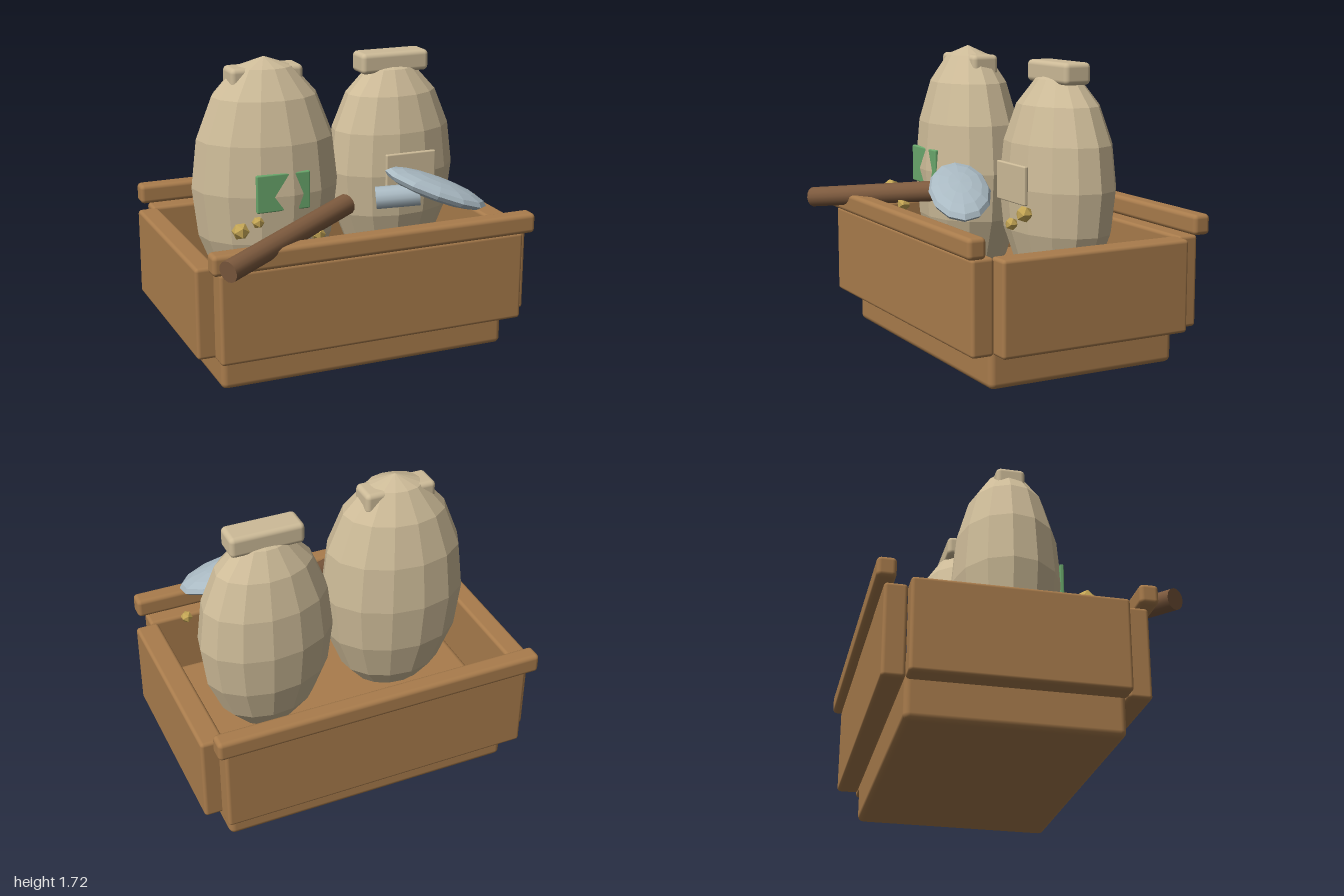
import * as THREE from 'three';
import { RoundedBoxGeometry } from 'three/addons/geometries/RoundedBoxGeometry.js';

const mat = (name, color, flatShading = false) => {
  const m = new THREE.MeshStandardMaterial({ color, flatShading });
  m.name = name;
  return m;
};

export function createModel() {
  const model = new THREE.Group();
  model.name = 'suppliesCrate';
  const wood = mat('crate wood', 0xa97c4c);
  const cloth = mat('sack cloth', 0xcdbb98, true);
  const trim = mat('sack trim', 0xcdbb98);
  const green = mat('green patch', 0x6aa86c);
  const bark = mat('log brown', 0x7d5a3e);
  const metal = mat('pale steel', 0xa9b9c2, true);
  const gold = mat('gold', 0xc4a655, true);

  const add = (name, geometry, material, x = 0, y = 0, z = 0) => {
    const mesh = new THREE.Mesh(geometry, material);
    mesh.name = name;
    mesh.position.set(x, y, z);
    model.add(mesh);
    return mesh;
  };
  // Rounded box given by its lower and upper corners
  const box = (name, material, lo, hi, radius) => {
    const s = hi.map((v, i) => v - lo[i]);
    const c = hi.map((v, i) => (v + lo[i]) / 2);
    return add(name, new RoundedBoxGeometry(...s, 3, radius), material, ...c);
  };
  // Cylinder between two points
  const rod = (name, material, from, to, radius, sides) => {
    const a = new THREE.Vector3(...from), b = new THREE.Vector3(...to);
    const dir = b.clone().sub(a);
    const mesh = add(name, new THREE.CylinderGeometry(radius, radius, dir.length(), sides), material);
    mesh.position.copy(a).add(b).multiplyScalar(0.5);
    mesh.quaternion.setFromUnitVectors(new THREE.Vector3(0, 1, 0), dir.normalize());
    return mesh;
  };

  // Crate: floor block, four walls and two rails
  box('crateFloor', wood, [-0.865, 0, -0.66], [0.86, 0.36, 0.49], 0.035);
  box('rightWall', wood, [-1, 0.2, -0.66], [-0.875, 0.72, 0.49], 0.02);
  box('leftWall', wood, [0.865, 0.2, -0.66], [1, 0.72, 0.49], 0.02);
  box('frontWall', wood, [-0.907, 0.2, 0.49], [0.907, 0.72, 0.62], 0.02);
  box('backWall', wood, [-0.907, 0.2, -0.785], [0.907, 0.72, -0.66], 0.02);
  box('frontRail', wood, [-0.957, 0.725, 0.56], [0.957, 0.84, 0.665], 0.025);
  box('backRail', wood, [-0.957, 0.725, -0.832], [0.957, 0.84, -0.727], 0.025);

  // Sacks, each with a tie across the top and a patch on the front
  const sacks = [
    { side: 'right', p: [-0.41, 0.99, -0.04], r: [0.425, 0.73, 0.312], turn: -0.12, tieZ: -0.052, patch: green },
    { side: 'left', p: [0.428, 0.98, -0.165], r: [0.4, 0.64, 0.282], turn: 0.1, tieZ: -0.168, patch: trim },
  ];
  for (const { side, p, r, turn, tieZ, patch } of sacks) {
    const sack = add(side + 'Sack', new THREE.SphereGeometry(1, 14, 8), cloth, ...p);
    sack.scale.set(...r);
    sack.rotation.y = turn;
    box(side + 'SackTie', trim, [p[0] - 0.213, 1.548, tieZ - 0.083], [p[0] + 0.213, 1.67, tieZ + 0.083], 0.028);
    box(side + 'SackPatch', patch, [p[0] - 0.157, 0.905, p[2] + 0.275], [p[0] + 0.157, 1.12, p[2] + 0.3], 0.008);
  }

  // Log resting over the front rail
  rod('log', bark, [-0.91, 0.79, 0.77], [-0.055, 0.915, 0.302], 0.06, 14);

  // Scoop: flattened blade and a short socket
  const normal = new THREE.Vector3(0.35, 1, 0.13).normalize();
  const along = new THREE.Vector3(0.93, 0, 0.36).projectOnPlane(normal).normalize();
  const across = along.clone().cross(normal);
  const blade = add('scoopBlade', new THREE.SphereGeometry(1, 12, 8), metal, 0.43, 0.99, 0.445);
  blade.scale.set(0.305, 0.06, 0.168);
  blade.quaternion.setFromRotationMatrix(new THREE.Matrix4().makeBasis(along, normal, across));
  rod('scoopSocket', mat('socket steel', 0xa9b9c2), [0.095, 0.952, 0.37], [0.32, 0.975, 0.465], 0.063, 14);

  // Loose nuggets
  const nuggets = [
    [-0.695, 0.85, 0.345, 0.05], [0.62, 0.87, 0.155, 0.048], [0.74, 0.85, 0.3, 0.036],
    [-0.285, 0.815, 0.45, 0.042], [-0.555, 0.85, 0.235, 0.036],
  ];
  for (const [x, y, z, r] of nuggets) add('nugget', new THREE.IcosahedronGeometry(r, 0), gold, x, y, z);

  return model;
}
